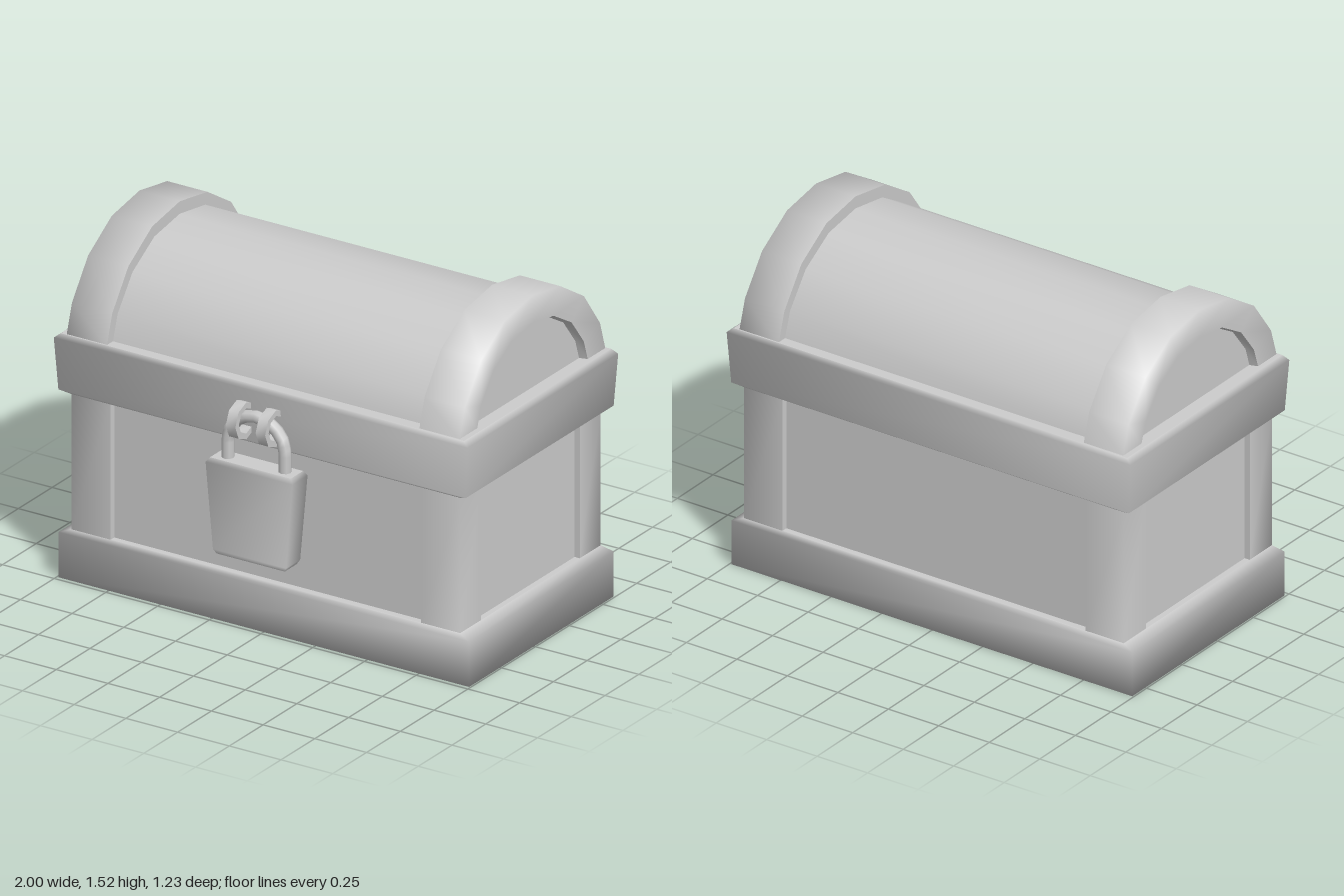
import * as THREE from 'three';
import { toCreasedNormals } from 'three/addons/utils/BufferGeometryUtils.js';

const grey = new THREE.MeshStandardMaterial({ color: 0xcccccc });

function mesh(name, geometry) {
  const m = new THREE.Mesh(geometry, grey);
  m.name = name;
  return m;
}

function build(points, index) {
  const g = new THREE.BufferGeometry();
  g.setAttribute('position', new THREE.Float32BufferAttribute(points.flat(), 3));
  g.setIndex(index);
  g.computeVertexNormals();
  return g;
}

// Smooth surface through equal-length rows of points
function skin(rows, closed = false) {
  const n = rows[0].length, index = [];
  for (let i = 0; i < rows.length - 1; i++) {
    for (let j = 0; j < (closed ? n : n - 1); j++) {
      const a = i * n + j, b = i * n + (j + 1) % n;
      index.push(a, b, b + n, a, b + n, a + n);
    }
  }
  return build(rows.flat(), index);
}

// Stacked rectangles [halfX, halfZ, y] with end caps
function stack(name, rings, softBottom = false) {
  const rows = rings.map(([x, z, y]) => [[-x, y, z], [x, y, z], [x, y, -z], [-x, y, -z]]);
  const side = skin(rows, true);
  const group = new THREE.Group();
  group.name = name;
  if (softBottom) {
    side.setIndex([...side.index.array, 0, 2, 1, 0, 3, 2]);
    side.computeVertexNormals();
  } else {
    group.add(mesh(name + 'Bottom', build(rows[0], [0, 2, 1, 0, 3, 2])));
  }
  group.add(mesh(name + 'Sides', side));
  group.add(mesh(name + 'Top', build(rows[rows.length - 1], [0, 1, 2, 0, 2, 3])));
  return group;
}

// Arched lid section at x, running from back to front
const HALF_ARCH = [[0.54, 0], [0.5, 0.13], [0.38, 0.295], [0.205, 0.405]];
const ARCH = [
  ...HALF_ARCH.map(([z, y]) => [-z, y]),
  [0, 0.44],
  ...HALF_ARCH.slice().reverse(),
];
const arch = (x, sz, sy) => ARCH.map(([z, y]) => [x, 1.085 + y * sy, z * sz]);

function makeLid() {
  const lid = new THREE.Group();
  lid.name = 'lid';
  lid.add(mesh('lidBarrel', skin([arch(-0.76, 0.92, 0.875), arch(0.76, 0.92, 0.875)])));
  for (const s of [1, -1]) {
    const strips = {
      archInnerFace: [arch(s * 0.755, 0.9, 0.85), arch(s * 0.755, 1, 1)],
      archBand: [arch(s * 0.755, 1, 1), arch(s * 0.95, 1, 1), arch(s * 0.95, 0.76, 0.72)],
      archRecess: [arch(s * 0.95, 0.76, 0.72), arch(s * 0.915, 0.74, 0.7)],
      archPanel: [arch(s * 0.915, 0.74, 0.7), arch(s * 0.915, 0, 0)],
    };
    for (const [name, rows] of Object.entries(strips)) {
      lid.add(mesh(name, skin(s > 0 ? rows : rows.reverse())));
    }
  }
  return lid;
}

function makePosts() {
  const posts = new THREE.Group();
  posts.name = 'cornerPosts';
  const strips = [
    [[0.75, 0.52], [0.94, 0.52], [0.94, 0.365]],
    [[0.75, 0.49], [0.75, 0.52]],
    [[0.94, 0.365], [0.91, 0.365]],
  ];
  for (const sx of [1, -1]) for (const sz of [1, -1]) {
    for (const strip of strips) {
      const pts = sx * sz > 0 ? strip : strip.slice().reverse();
      const row = (y) => pts.map(([x, z]) => [sx * x, y, sz * z]);
      posts.add(mesh('cornerPost', skin([row(0.215), row(0.825)])));
    }
  }
  return posts;
}

function makePadlock() {
  const lock = new THREE.Group();
  lock.name = 'padlock';
  lock.add(stack('lockBody', [
    [0.165, 0.044, 0.345], [0.177, 0.052, 0.365], [0.21, 0.056, 0.745], [0.195, 0.046, 0.765],
  ]));

  // Shackle: two straight legs joined by a half circle
  const path = new THREE.CurvePath();
  const v = (x, y) => new THREE.Vector3(x, y, 0);
  const pts = [v(-0.138, 0.75)];
  for (let i = 0; i <= 8; i++) {
    const a = Math.PI * (1 - i / 8);
    pts.push(v(0.138 * Math.cos(a), 0.85 + 0.125 * Math.sin(a)));
  }
  pts.push(v(0.138, 0.75));
  for (let i = 1; i < pts.length; i++) path.add(new THREE.LineCurve3(pts[i - 1], pts[i]));
  lock.add(mesh('shackle', new THREE.TubeGeometry(path, 28, 0.027, 8)));

  // Octagonal eyelets that hold the shackle
  const octagon = (r) => Array.from({ length: 8 }, (_, i) =>
    new THREE.Vector2(r * Math.cos(i * Math.PI / 4), r * Math.sin(i * Math.PI / 4)));
  const ring = new THREE.Shape(octagon(0.082));
  ring.holes.push(new THREE.Path(octagon(0.056)));
  const eye = toCreasedNormals(
    new THREE.ExtrudeGeometry(ring, { depth: 0.046, bevelEnabled: false }).translate(0, 0, -0.023), 1);
  for (const s of [1, -1]) {
    const m = mesh('eyelet', eye);
    m.rotation.y = Math.PI / 2;
    m.position.set(s * 0.072, 0.945, 0);
    lock.add(m);
  }
  lock.position.z = 0.533;
  return lock;
}

export function createModel() {
  const model = new THREE.Group();
  model.name = 'treasureChest';

  const chest = new THREE.Group();
  chest.name = 'chest';
  chest.position.z = -0.055;
  chest.add(stack('base', [[0.993, 0.535, 0], [0.993, 0.535, 0.2], [0.94, 0.52, 0.22]], true));
  chest.add(stack('rim', [
    [0.94, 0.52, 0.82], [0.985, 0.547, 0.84], [1, 0.558, 1.07], [0.975, 0.545, 1.09],
  ]));

  // Recessed wall panels between the posts
  const walls = mesh('wallPanels', new THREE.BoxGeometry(1.83, 0.62, 0.985));
  walls.position.y = 0.52;
  chest.add(walls, makePosts(), makeLid());

  model.add(chest, makePadlock());
  return model;
}
